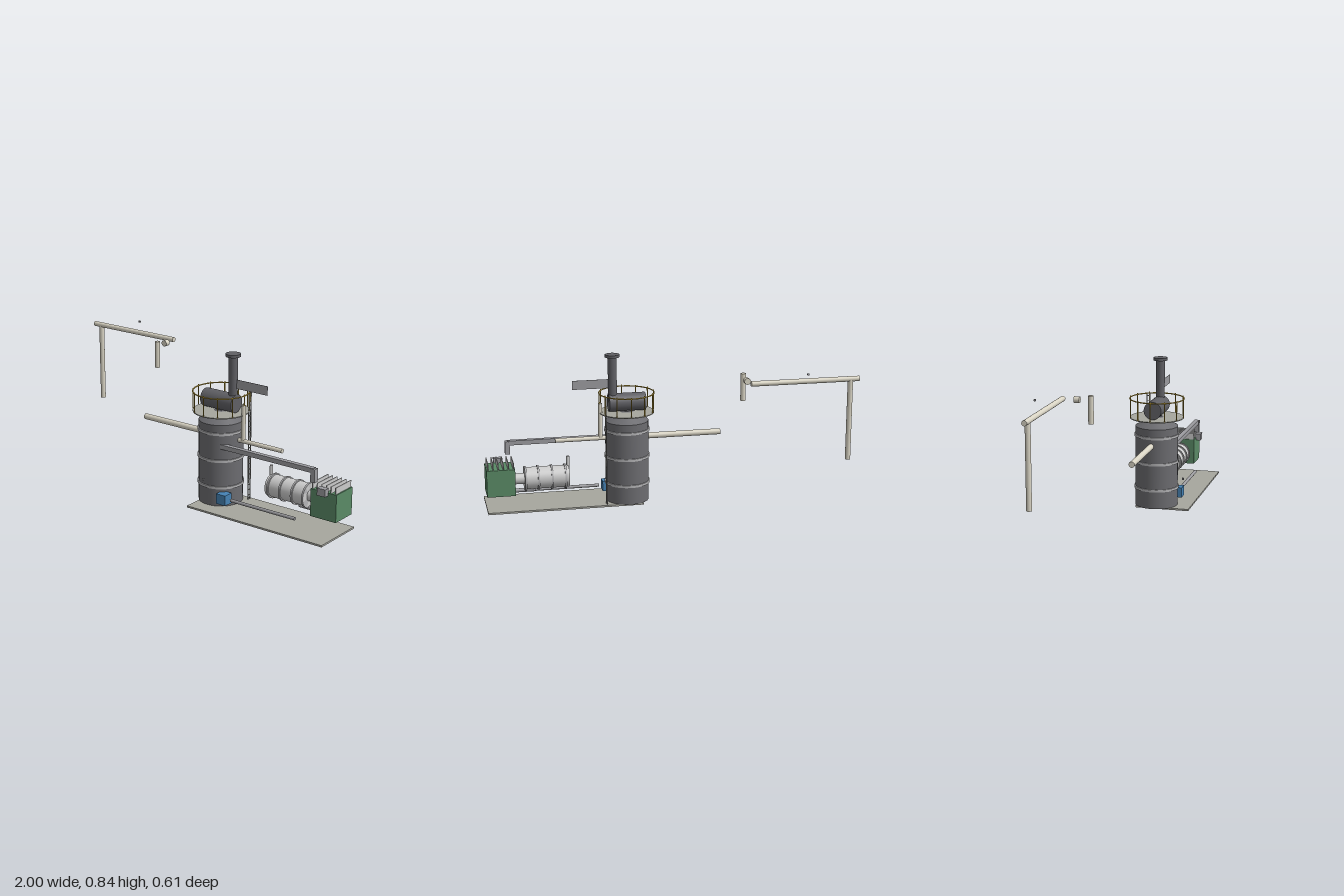
import * as THREE from 'three';

const mat = (color) => new THREE.MeshStandardMaterial({ color });
const steel = mat(0x6c6c70), stackSteel = mat(0x606065), bandGrey = mat(0xb4b4b6), ductGrey = mat(0x9c9ca0);
const lightGrey = mat(0xcccccc), concrete = mat(0xa6a69e), cream = mat(0xd9d4c4);
const green = mat(0x5a8a66), blue = mat(0x4682b4), yellow = mat(0xc8a83c), ladderGrey = mat(0x8c8c88);

const TX = 0.215, TZ = 0.104; // axis of the tower

export function createModel() {
  const root = new THREE.Group();
  root.name = 'processPlant';

  const add = (name, geometry, material, x, y, z) => {
    const mesh = new THREE.Mesh(geometry, material);
    mesh.name = name;
    mesh.position.set(x, y, z);
    root.add(mesh);
    return mesh;
  };
  // box from its two extreme corners
  const box = (name, m, x0, x1, y0, y1, z0, z1) =>
    add(name, new THREE.BoxGeometry(x1 - x0, y1 - y0, z1 - z0), m, (x0 + x1) / 2, (y0 + y1) / 2, (z0 + z1) / 2);
  // cylinders along each axis
  const cylY = (name, m, r, x, z, y0, y1, seg = 24) =>
    add(name, new THREE.CylinderGeometry(r, r, y1 - y0, seg), m, x, (y0 + y1) / 2, z);
  const cylX = (name, m, r, y, z, x0, x1, seg = 24) => {
    const c = add(name, new THREE.CylinderGeometry(r, r, x1 - x0, seg), m, (x0 + x1) / 2, y, z);
    c.rotation.z = Math.PI / 2;
    return c;
  };

  // ground slab
  box('basePlate', concrete, 0.14, 1, 0, 0.01, 0, 0.305);

  // tower: shell, conical roof, neck and bands
  cylY('towerShell', steel, 0.12, TX, TZ, 0.01, 0.465, 32);
  add('towerRoof', new THREE.CylinderGeometry(0.03, 0.12, 0.055, 32), steel, TX, 0.4925, TZ);
  cylY('roofNeck', steel, 0.028, TX, TZ, 0.51, 0.53);
  for (const y of [0.115, 0.265, 0.415]) cylY('towerBand', bandGrey, 0.126, TX, TZ, y - 0.007, y + 0.007, 32);
  box('towerSensor', ductGrey, TX - 0.005, TX + 0.005, 0.16, 0.17, 0.252, 0.262);

  // platform with railing
  cylY('platform', concrete, 0.152, TX, TZ, 0.51, 0.515, 32);
  const rail = add('topRail', new THREE.TorusGeometry(0.152, 0.0035, 8, 48), yellow, TX, 0.62, TZ);
  rail.rotation.x = Math.PI / 2;
  for (let i = 0; i < 12; i++) {
    const a = (i * Math.PI) / 6;
    cylY('railPost', yellow, 0.003, TX + 0.152 * Math.cos(a), TZ + 0.152 * Math.sin(a), 0.515, 0.627, 8);
  }

  // drum and exhaust stack
  cylX('drum', stackSteel, 0.05, 0.568, TZ, 0.112, 0.316, 32);
  cylY('stack', stackSteel, 0.0245, 0.293, TZ, 0.568, 0.82);
  cylY('stackCap', stackSteel, 0.04, 0.293, TZ, 0.823, 0.838);
  box('stackVane', ductGrey, 0.315, 0.515, 0.65, 0.7, TZ - 0.001, TZ + 0.001);

  // ladder
  for (const z of [0.013, 0.031]) box('ladderRail', ladderGrey, 0.342, 0.347, 0.01, 0.62, z - 0.0025, z + 0.0025);
  for (let y = 0.035; y < 0.615; y += 0.03) box('ladderRung', ladderGrey, 0.342, 0.347, y - 0.002, y + 0.002, 0.013, 0.031);

  // pipes through and beside the tower
  cylX('inletPipe', cream, 0.0165, 0.369, 0.1, -0.315, 0.12);
  cylX('outletPipe', cream, 0.012, 0.369, TZ, 0.3, 0.615);
  cylY('downPipe', cream, 0.012, 0.363, TZ, 0.369, 0.567);

  // square duct to the cabinet
  box('duct', ductGrey, 0.285, 0.87, 0.335, 0.36, 0.177, 0.204);
  box('ductDrop', ductGrey, 0.857, 0.883, 0.285, 0.357, 0.176, 0.206);
  box('controlBox', ductGrey, 0.9, 0.95, 0.225, 0.265, 0.176, 0.208);

  // cabinet with cooling fins
  box('cabinet', green, 0.845, 1, 0.09, 0.24, 0.03, 0.18);
  for (let i = 0; i < 6; i++) {
    const x = 0.853 + i * 0.0275;
    box('coolingFin', lightGrey, x - 0.0025, x + 0.0025, 0.24, 0.276, 0.033, 0.176);
  }

  // banded barrel next to the cabinet
  cylX('barrel', lightGrey, 0.061, 0.165, TZ - 0.003, 0.545, 0.79, 32);
  for (const x of [0.565, 0.64, 0.715, 0.785]) cylX('barrelBand', bandGrey, 0.068, 0.165, TZ - 0.003, x - 0.005, x + 0.005, 32);
  cylX('barrelNeck', lightGrey, 0.03, 0.165, TZ - 0.003, 0.79, 0.85);
  cylY('barrelVent', lightGrey, 0.009, 0.547, TZ, 0.165, 0.276, 16);
  cylX('drainPipe', ductGrey, 0.011, 0.097, TZ, 0.73, 0.87, 16);

  // pump and its line
  box('pump', blue, 0.283, 0.342, 0.035, 0.092, 0.176, 0.235);
  cylX('pumpLine', ductGrey, 0.009, 0.063, 0.206, 0.36, 0.77, 16);

  // detached pipe run
  cylX('overheadPipe', cream, 0.0145, 0.722, -0.25, -1, -0.395);
  cylY('pipeLeg', cream, 0.0145, -0.95, -0.25, 0.27, 0.722);
  cylY('pipeDrop', cream, 0.0145, -0.392, -0.098, 0.594, 0.745);
  const stub = add('pipeStub', new THREE.CylinderGeometry(0.0175, 0.0175, 0.03, 24), cream, -0.393, 0.72, -0.173);
  stub.rotation.x = Math.PI / 2;
  box('pipeSensor', ductGrey, -0.7, -0.69, 0.767, 0.776, -0.305, -0.296);

  return root;
}
